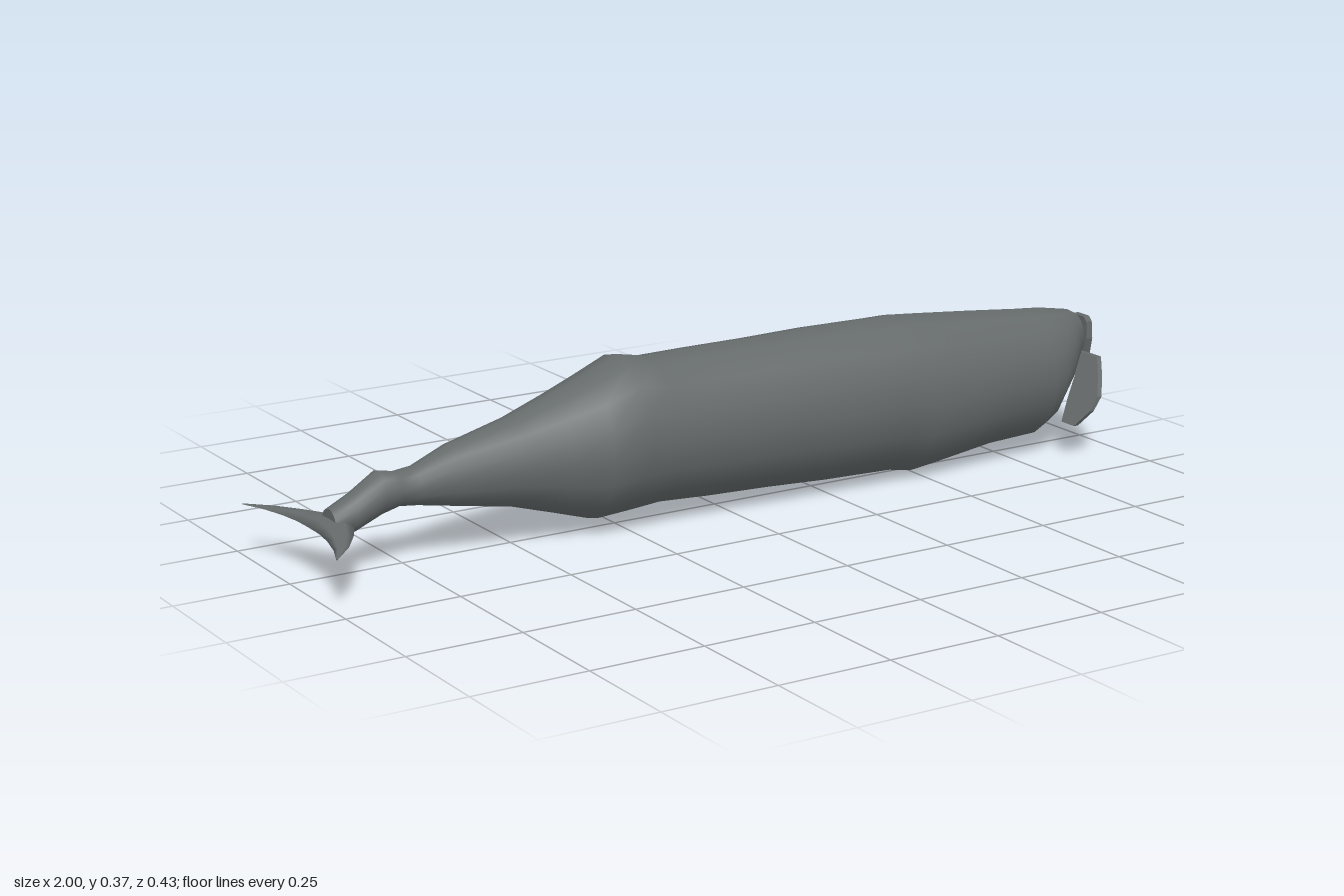
import * as THREE from 'three';

// Skin a list of closed rings (each an array of [x, y, z]) and cap both ends.
function loft(rings) {
  const n = rings[0].length, pos = rings.flat(2), idx = [];
  for (let i = 0; i < rings.length - 1; i++) {
    for (let j = 0; j < n; j++) {
      const k = (j + 1) % n;
      const a = i * n + j, b = a + n, c = i * n + k, d = c + n;
      idx.push(a, c, b, c, d, b);
    }
  }
  [rings[0], rings[rings.length - 1]].forEach((ring, end) => {
    const base = pos.length / 3;
    pos.push(...ring.flat());
    for (let j = 1; j < n - 1; j++) {
      if (end) idx.push(base, base + j, base + j + 1);
      else idx.push(base, base + j + 1, base + j);
    }
  });
  const g = new THREE.BufferGeometry();
  g.setAttribute('position', new THREE.Float32BufferAttribute(pos, 3));
  g.setIndex(idx);
  g.computeVertexNormals();
  return g;
}

function ringOf(n, fn) {
  return Array.from({ length: n }, (_, j) => {
    const a = (j / n) * Math.PI * 2;
    return fn(Math.cos(a), Math.sin(a));
  });
}

// Plate drawn in the z-y plane, extruded along x.
function plate(points, depth) {
  const shape = new THREE.Shape(points.map(([z, y]) => new THREE.Vector2(z, y)));
  const g = new THREE.ExtrudeGeometry(shape, { depth, bevelEnabled: false });
  g.rotateY(Math.PI / 2);
  return g;
}

export function createModel() {
  const group = new THREE.Group();
  const hide = new THREE.MeshStandardMaterial({ color: 0x656a6b });
  hide.name = 'slate grey';
  const add = (name, geometry) => {
    const m = new THREE.Mesh(geometry, hide);
    m.name = name;
    group.add(m);
    return m;
  };

  // Body stations: x, top, bottom, half width
  const stations = [
    [-0.91, 0.143, 0.082, 0.032], [-0.86, 0.168, 0.088, 0.036],
    [-0.8, 0.205, 0.115, 0.044], [-0.76, 0.197, 0.125, 0.038],
    [-0.72, 0.202, 0.12, 0.038], [-0.64, 0.235, 0.105, 0.054],
    [-0.5, 0.27, 0.08, 0.08], [-0.4, 0.305, 0.05, 0.105],
    [-0.32, 0.335, 0.025, 0.127], [-0.24, 0.368, 0.031, 0.138],
    [-0.17, 0.355, 0.037, 0.135], [-0.05, 0.357, 0.03, 0.135],
    [0.1, 0.357, 0.025, 0.14], [0.25, 0.36, 0.017, 0.143],
    [0.42, 0.358, 0.012, 0.145], [0.48, 0.358, 0.002, 0.148],
    [0.55, 0.352, 0.01, 0.143], [0.7, 0.338, 0.03, 0.132],
    [0.83, 0.325, 0.035, 0.122], [0.87, 0.322, 0.058, 0.111],
    [0.91, 0.315, 0.11, 0.09], [0.95, 0.308, 0.165, 0.057],
    [0.97, 0.298, 0.195, 0.042],
  ];
  add('body', loft(stations.map(([x, top, bottom, w]) =>
    ringOf(16, (c, s) => [x, (top + bottom) / 2 + c * (top - bottom) / 2, s * w]))));

  // Tail flukes: z, leading x, trailing x, half thickness
  const half = [
    [0, -0.86, -0.955, 0.013], [0.05, -0.878, -0.956, 0.01],
    [0.1, -0.905, -0.963, 0.007], [0.16, -0.945, -0.978, 0.004],
    [0.217, -0.998, -1, 0.001],
  ];
  const span = [...half.slice(1).reverse().map(([z, ...r]) => [-z, ...r]), ...half];
  add('tailFlukes', loft(span.map(([z, lead, trail, t]) =>
    ringOf(6, (c, s) => [(lead + trail) / 2 + c * (lead - trail) / 2, 0.112 + s * t, z]))));

  // Lower pair of blades, joined at the middle and raked along the slanted nose
  const side = [[0.05, 0.165], [0.068, 0.12], [0.09, 0.075], [0.135, 0.075],
    [0.157, 0.11], [0.155, 0.14], [0.12, 0.178], [0.085, 0.21]];
  const lower = plate([...side, ...side.slice().reverse().map(([z, y]) => [-z, y])], 0.012);
  const p = lower.attributes.position;
  for (let i = 0; i < p.count; i++) {
    p.setX(i, p.getX(i) + 0.872 + 0.75 * (p.getY(i) - 0.075));
  }
  lower.computeVertexNormals();
  add('lowerBlades', lower);

  // Upright blade standing just ahead of the nose
  const upper = plate([[-0.02, 0.172], [0.026, 0.165], [0.026, 0.2], [0.034, 0.24],
    [0.03, 0.28], [0.02, 0.29], [-0.02, 0.29], [-0.03, 0.28], [-0.034, 0.24], [-0.026, 0.2]], 0.016);
  upper.translate(0.984, 0, 0);
  add('upperBlade', upper);

  // Hub tying the blades to the nose
  const hub = new THREE.CylinderGeometry(0.018, 0.02, 0.045, 10);
  hub.rotateZ(-Math.PI / 2);
  hub.translate(0.97, 0.195, 0);
  add('bladeHub', hub);

  return group;
}
